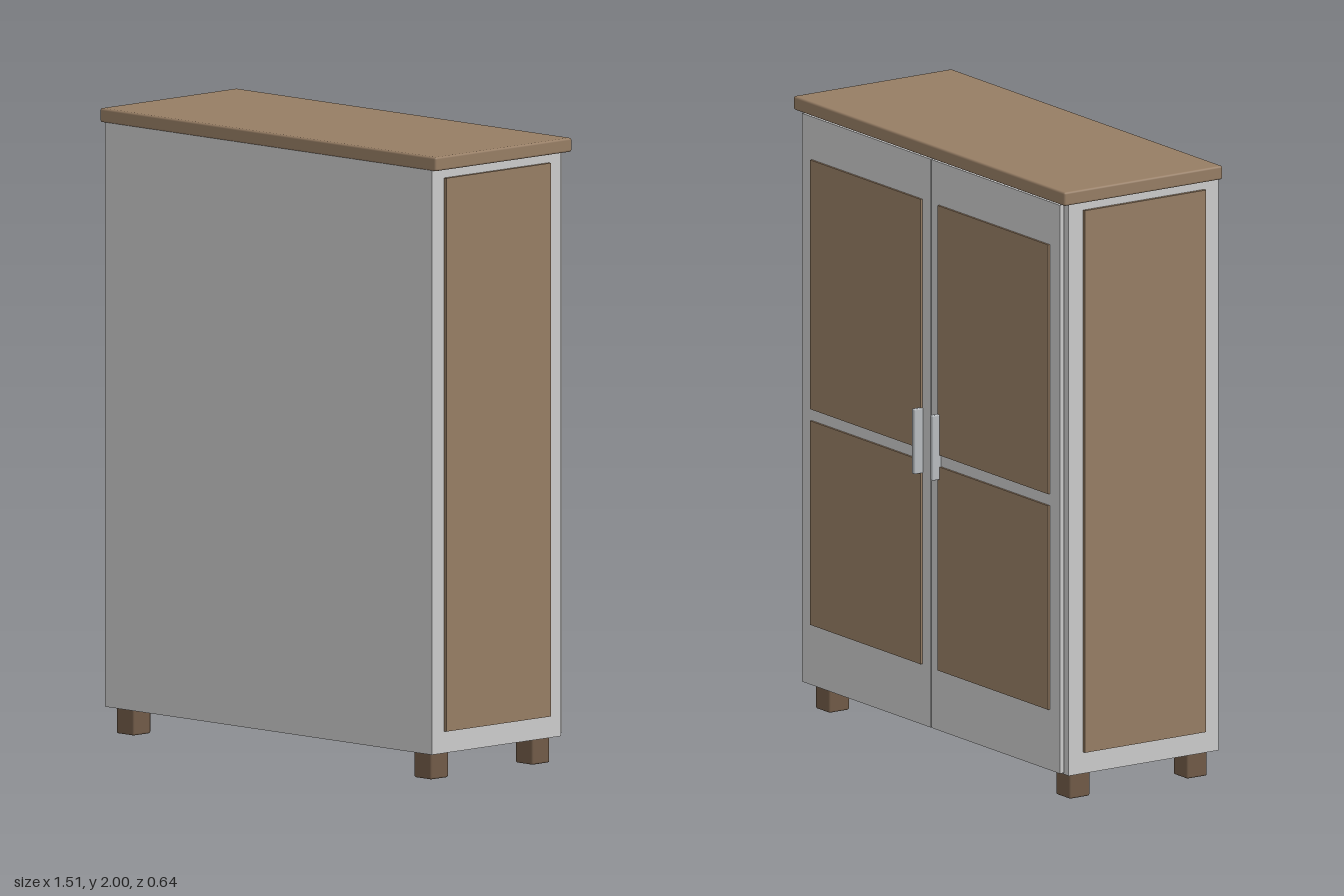
import * as THREE from 'three';
import { RoundedBoxGeometry } from 'three/addons/geometries/RoundedBoxGeometry.js';

const paint = new THREE.MeshStandardMaterial({ color: 0xcccccc });
const wood = new THREE.MeshStandardMaterial({ color: 0x967d64 });
const darkWood = new THREE.MeshStandardMaterial({ color: 0x705a47 });
const metal = new THREE.MeshStandardMaterial({ color: 0xb8bcc0 });

// Box given by its limits on each axis, with optionally rounded edges
function block(name, [x0, x1], [y0, y1], [z0, z1], material, radius = 0) {
  const size = [x1 - x0, y1 - y0, z1 - z0];
  const geometry = radius
    ? new RoundedBoxGeometry(...size, 2, radius)
    : new THREE.BoxGeometry(...size);
  const mesh = new THREE.Mesh(geometry, material);
  mesh.name = name;
  mesh.position.set((x0 + x1) / 2, (y0 + y1) / 2, (z0 + z1) / 2);
  return mesh;
}

// Limits mirrored to the chosen side of x = 0
const mirror = (side, a, b) => (side > 0 ? [a, b] : [-b, -a]);

// Door with two wooden panels, a rail between them and a pull handle
function createDoor(side) {
  const door = new THREE.Group();
  door.name = side > 0 ? 'leftDoor' : 'rightDoor';
  door.add(block('doorFrame', mirror(side, 0.003, 0.717), [0.092, 1.95], [-0.284, -0.267], paint));
  const panelX = mirror(side, 0.047, 0.662);
  door.add(block('upperDoorPanel', panelX, [0.995, 1.81], [-0.291, -0.28], wood));
  door.add(block('lowerDoorPanel', panelX, [0.29, 0.957], [-0.291, -0.28], wood));
  door.add(block('handle', mirror(side, 0.042, 0.058), [0.915, 1.128], [-0.318, -0.283], metal, 0.004));
  return door;
}

export function createModel() {
  const cabinet = new THREE.Group();
  cabinet.name = 'cabinet';

  // Carcass, recessed strip behind the doors, and overhanging top
  cabinet.add(block('carcass', [-0.735, 0.735], [0.085, 1.957], [-0.262, 0.315], paint));
  cabinet.add(block('doorStop', [-0.705, 0.705], [0.1, 1.945], [-0.27, -0.26], paint));
  cabinet.add(block('top', [-0.755, 0.755], [1.955, 2], [-0.292, 0.318], wood, 0.007));

  for (const side of [1, -1]) {
    cabinet.add(createDoor(side));
    cabinet.add(block('sidePanel', mirror(side, 0.73, 0.746), [0.155, 1.927], [-0.207, 0.26], wood));
    for (const z of [0.252, -0.2]) {
      cabinet.add(block('foot', mirror(side, 0.63, 0.708), [0, 0.087], [z - 0.039, z + 0.039], darkWood, 0.006));
    }
  }
  return cabinet;
}
